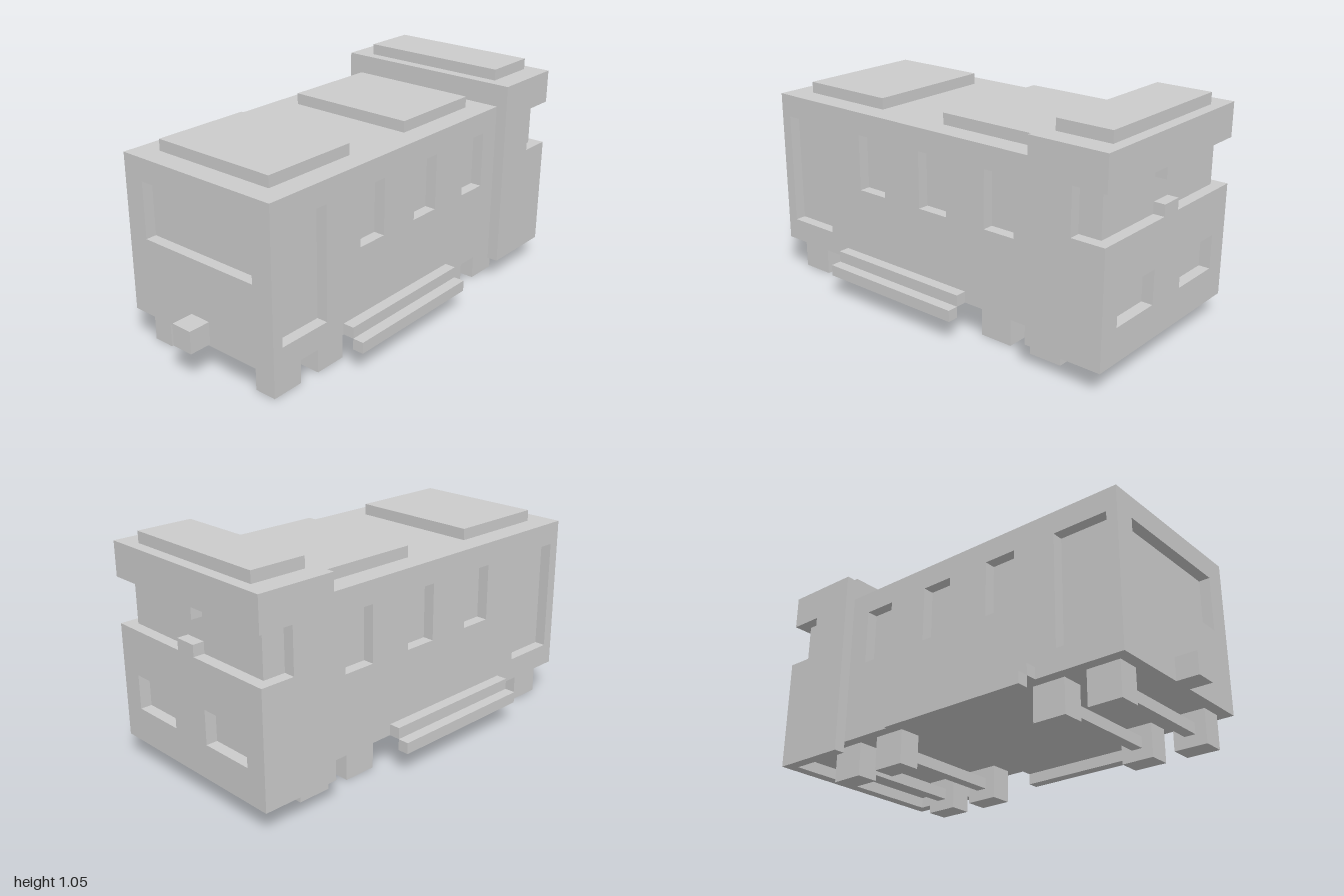
import * as THREE from 'three';

const U = 2 / 38; // one grid block
const material = new THREE.MeshStandardMaterial({ color: 0xcccccc, flatShading: true });

// Closed path through [x, y] corners
const trace = (path, pts) => {
  pts.forEach(([x, y], i) => (i ? path.lineTo(x, y) : path.moveTo(x, y)));
  path.closePath();
  return path;
};
const rect = (x0, x1, y0, y1) => [[x0, y0], [x1, y0], [x1, y1], [x0, y1]];

export function createModel() {
  const model = new THREE.Group();
  model.name = 'railCar';

  const add = (name, geometry) => {
    const mesh = new THREE.Mesh(geometry, material);
    mesh.name = name;
    model.add(mesh);
    return mesh;
  };

  // Box given by its extents in blocks
  const block = (name, x0, x1, y0, y1, z0, z1) => {
    const g = new THREE.BoxGeometry(x1 - x0, y1 - y0, z1 - z0);
    g.translate((x0 + x1) / 2, (y0 + y1) / 2, (z0 + z1) / 2);
    return add(name, g);
  };

  // One-block-thick wall with openings
  const wall = (outline, holes = []) => {
    const shape = trace(new THREE.Shape(), outline);
    holes.forEach((h) => shape.holes.push(trace(new THREE.Path(), rect(...h))));
    return new THREE.ExtrudeGeometry(shape, { depth: 1, bevelEnabled: false });
  };
  const sideWall = (name, z, outline, holes) => add(name, wall(outline, holes).translate(0, 0, z));
  const endWall = (name, xMax, outline, holes) =>
    add(name, wall(outline, holes).rotateY(-Math.PI / 2).translate(xMax, 0, 0));

  // Passenger body: solid core, walls with recessed door and windows
  block('bodyCore', -16, 12, 3, 17, -7, 7);
  const openings = [[-16, -11, 5, 15], ...[-7, 0, 7].map((x) => [x, x + 3, 10, 15])];
  for (const [side, z] of [['left', -8], ['right', 7]]) {
    sideWall(side + 'BodyWall', z, rect(-17, 12, 3, 17), openings);
  }
  endWall('rearWall', -16, rect(-7, 7, 3, 17), [[-6, 6, 10, 15]]);

  // Cab: core, side walls with window notch, front with lamp recesses
  block('cabCore', 12, 18, 3, 19, -8, 8);
  const cabSide = [[12, 2], [18, 2], [18, 12], [16, 12], [16, 16], [18, 16], [18, 19], [12, 19]];
  for (const [side, z] of [['left', -9], ['right', 8]]) sideWall(side + 'CabWall', z, cabSide);
  endWall('cabFrontLower', 19, rect(-9, 9, 2, 12), [[-7, -2, 5, 8], [2, 7, 5, 8]]);
  endWall('cabFrontUpper', 19, rect(-9, 9, 16, 19));
  block('windscreenLowerTab', 18, 19, 12, 13, -1, 1);
  block('windscreenUpperTab', 18, 19, 15, 16, -1, 1);

  // Raised roof panels
  block('rearRoofPanel', -15, -6, 17, 18, -6, 6);
  block('middleRoofPanel', 1, 10, 17, 18, -6, 6);
  block('cabRoofPanel', 13, 18, 19, 20, -7, 7);

  // Rear coupling
  block('coupling', -19, -17, 3, 5, -1, 1);

  // Steps along both sides
  for (const s of [-1, 1]) {
    block('upperStep', -9, 5, 3, 4, s * 8.5 - 0.5, s * 8.5 + 0.5);
    block('lowerStep', -9, 5, 2, 3, s * 9.5 - 0.5, s * 9.5 + 0.5);
  }

  // Wheels joined by thin axles
  for (const x of [-16, -11, 6, 11]) {
    block('axle', x + 1, x + 2, 1, 2, -5, 5);
    for (const z of [-7, 5]) block('wheel', x, x + 3, 0, 3, z, z + 2);
  }

  model.scale.setScalar(U);
  return model;
}
